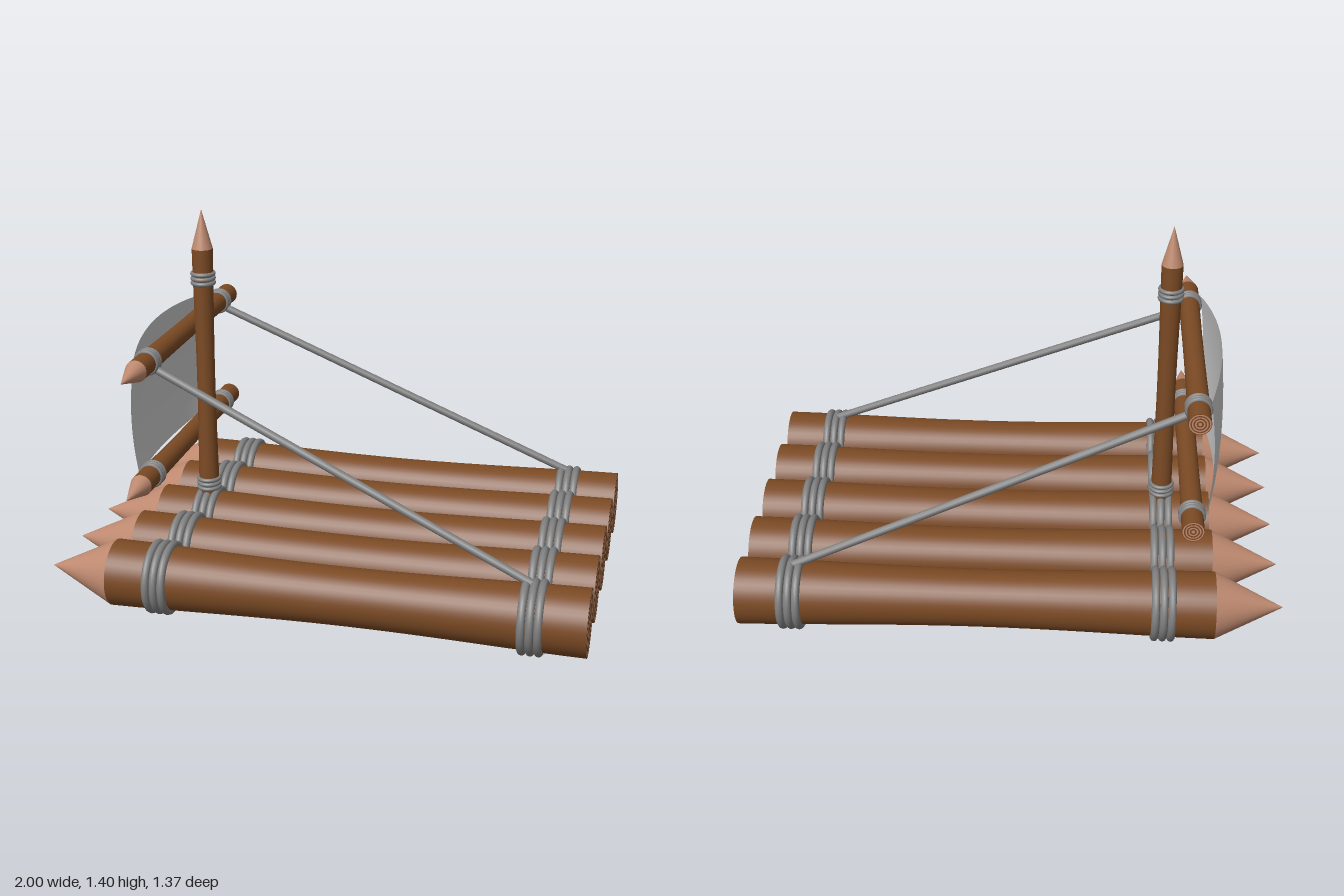
import * as THREE from 'three';

const mat = (color, side = THREE.FrontSide) => new THREE.MeshStandardMaterial({ color, side });
const bark = mat(0x7b4a24);
const wood = mat(0xbf8a70);
const rope = mat(0x808080);
const cloth = mat(0xcccccc, THREE.DoubleSide);

function add(parent, name, geometry, material) {
  const mesh = new THREE.Mesh(geometry, material);
  mesh.name = name;
  parent.add(mesh);
  return mesh;
}

// Pole along +y: waisted bark, sharpened tip, growth rings on the cut end, rope lashings
function makePole(name, { radius, waist, length, tip, lashings, tube, gap }) {
  const pole = new THREE.Group();
  pole.name = name;

  const profile = [];
  for (let i = 0; i <= 16; i++) {
    const t = i / 16;
    const dip = Math.pow(Math.sin(Math.PI * t), 1.5);
    profile.push(new THREE.Vector2(radius - (radius - waist) * dip, t * length));
  }
  add(pole, 'bark', new THREE.LatheGeometry(profile, 40), bark);

  const point = add(pole, 'sharpenedTip', new THREE.ConeGeometry(radius, tip, 40, 1, true), wood);
  point.position.y = length + tip / 2;

  const bands = [0, 0.16, 0.3, 0.44, 0.57, 0.7, 0.82, 0.94, 1];
  for (let i = 0; i < 8; i++) {
    const ring = new THREE.RingGeometry(bands[i] * radius, bands[i + 1] * radius, 40);
    add(pole, 'growthRing', ring.rotateX(Math.PI / 2), i % 2 ? bark : wood);
  }

  for (const y of lashings) {
    for (const k of [-1, 0, 1]) {
      const loop = new THREE.TorusGeometry(radius, tube, 10, 40).rotateX(Math.PI / 2);
      add(pole, 'lashing', loop, rope).position.y = y + k * gap;
    }
  }
  return pole;
}

// Straight rope between two points
function makeRope(parent, name, from, to, radius) {
  const path = new THREE.LineCurve3(new THREE.Vector3(...from), new THREE.Vector3(...to));
  add(parent, name, new THREE.TubeGeometry(path, 1, radius, 12), rope);
}

export function createModel() {
  const raft = new THREE.Group();
  raft.name = 'raft';

  // Five deck logs, tips towards -x
  for (let i = -2; i <= 2; i++) {
    const log = makePole('deckLog', {
      radius: 0.123, waist: 0.106, length: 1.75, tip: 0.25,
      lashings: [0.197, 1.562], tube: 0.015, gap: 0.03,
    });
    log.rotation.z = Math.PI / 2;
    log.position.set(1, 0.148, i * 0.273);
    raft.add(log);
  }

  // Mast
  const mast = makePole('mast', {
    radius: 0.04, waist: 0.035, length: 1.02, tip: 0.15,
    lashings: [0.07, 0.905], tube: 0.0085, gap: 0.018,
  });
  mast.position.set(-0.563, 0.24, 0);
  raft.add(mast);

  // Upper and lower yards, tips towards +z
  for (const [name, y] of [['lowerYard', 0.483], ['upperYard', 0.923]]) {
    const yard = makePole(name, {
      radius: 0.041, waist: 0.038, length: 1.07, tip: 0.15,
      lashings: [0.117, 0.951], tube: 0.0085, gap: 0.016,
    });
    yard.rotation.x = Math.PI / 2;
    yard.position.set(-0.655, y, -0.572);
    raft.add(yard);
  }

  // Sail bulging away from the mast
  const sail = new THREE.PlaneGeometry(2, 2, 20, 12);
  const p = sail.attributes.position;
  for (let i = 0; i < p.count; i++) {
    const u = p.getX(i), v = p.getY(i);
    const across = 1 - u * u, up = 1 - v * v;
    p.setXYZ(i,
      -0.698 - 0.057 * across - up * (0.022 - 0.007 * across),
      0.711 + v * (0.241 + 0.024 * across),
      -0.04 + u * (0.434 + 0.006 * up));
  }
  sail.computeVertexNormals();
  add(raft, 'sail', sail, cloth);

  // Stays from the upper yard to the outer logs
  makeRope(raft, 'leftStay', [-0.645, 0.905, 0.378], [0.805, 0.268, 0.543], 0.015);
  makeRope(raft, 'rightStay', [-0.645, 0.905, -0.455], [0.805, 0.268, -0.55], 0.015);

  return raft;
}
